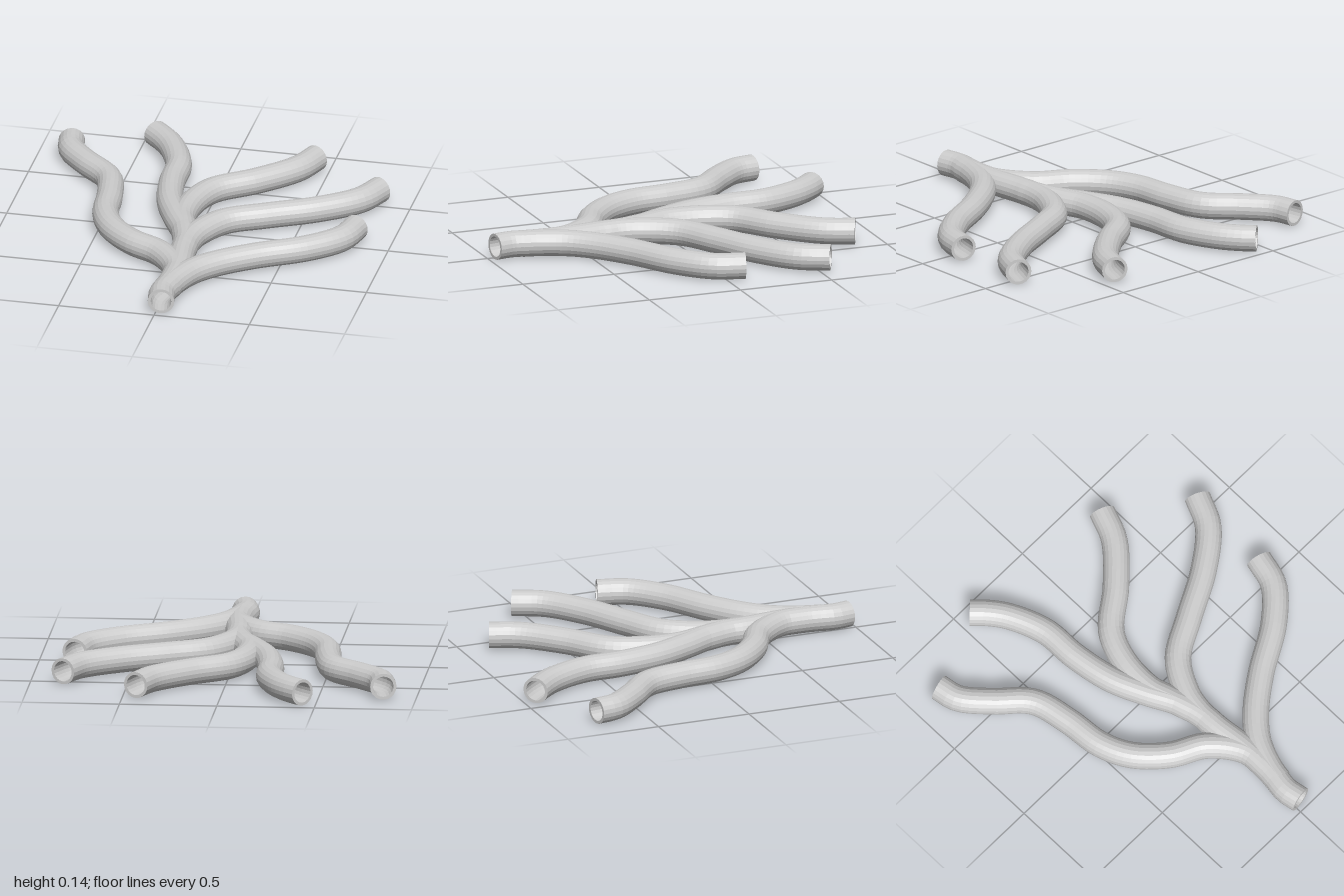
import * as THREE from 'three';

const OUTER = 0.068, INNER = 0.053, MID_Y = 0.073, SIDES = 20;

const material = new THREE.MeshStandardMaterial({ color: 0xcccccc, flatShading: true });
const boreMaterial = new THREE.MeshStandardMaterial({ color: 0xcccccc, flatShading: true, side: THREE.BackSide });

// Centre lines as [x, z], each running from the stem outwards.
const paths = {
  trunk: [[0.03, 0.97], [0.015, 0.88], [0.03, 0.77], [0.03, 0.58], [0.01, 0.4], [0.005, 0.3], [-0.03, 0.16],
    [-0.11, 0], [-0.185, -0.18], [-0.225, -0.4], [-0.235, -0.6], [-0.305, -0.785], [-0.37, -0.88], [-0.435, -0.948]],
  lowerLeftBranch: [[0.025, 0.8], [0.035, 0.7], [0.02, 0.58], [-0.1, 0.42], [-0.265, 0.325], [-0.405, 0.185],
    [-0.475, 0.03], [-0.5, -0.175], [-0.55, -0.375], [-0.7, -0.53], [-0.81, -0.665], [-0.835, -0.775]],
  lowerRightBranch: [[0.027, 0.82], [0.04, 0.75], [0.1, 0.6], [0.2, 0.48], [0.375, 0.345], [0.615, 0.2],
    [0.765, 0.05], [0.81, -0.1]],
  middleRightBranch: [[0.005, 0.36], [0.01, 0.25], [0.035, 0.15], [0.135, -0.015], [0.33, -0.13], [0.57, -0.26],
    [0.755, -0.41], [0.83, -0.56]],
  upperRightBranch: [[-0.01, 0.23], [-0.05, 0.1], [-0.08, 0], [-0.07, -0.19], [0, -0.36], [0.19, -0.515],
    [0.365, -0.7], [0.43, -0.85]],
};

// Flat ring closing the wall between outer skin and bore at one end.
function rim(curve, t) {
  const ring = new THREE.Mesh(new THREE.RingGeometry(INNER, OUTER, SIDES), material);
  const outward = curve.getTangentAt(t).multiplyScalar(t === 0 ? -1 : 1);
  ring.position.copy(curve.getPointAt(t));
  ring.quaternion.setFromUnitVectors(new THREE.Vector3(0, 0, 1), outward);
  ring.name = t === 0 ? 'startRim' : 'endRim';
  return ring;
}

// Hollow pipe: outer skin, inner bore and rims at the open ends.
function pipe(name, points, openStart) {
  const curve = new THREE.CatmullRomCurve3(points.map(([x, z]) => new THREE.Vector3(x, MID_Y, z)));
  const segments = Math.round(curve.getLength() / 0.035);
  const skin = new THREE.Mesh(new THREE.TubeGeometry(curve, segments, OUTER, SIDES), material);
  const bore = new THREE.Mesh(new THREE.TubeGeometry(curve, segments, INNER, SIDES), boreMaterial);
  skin.name = 'skin';
  bore.name = 'bore';
  const group = new THREE.Group();
  group.name = name;
  group.add(skin, bore, rim(curve, 1));
  if (openStart) group.add(rim(curve, 0));
  return group;
}

export function createModel() {
  const model = new THREE.Group();
  model.name = 'branchingPipe';
  for (const [name, points] of Object.entries(paths)) model.add(pipe(name, points, name === 'trunk'));
  return model;
}
